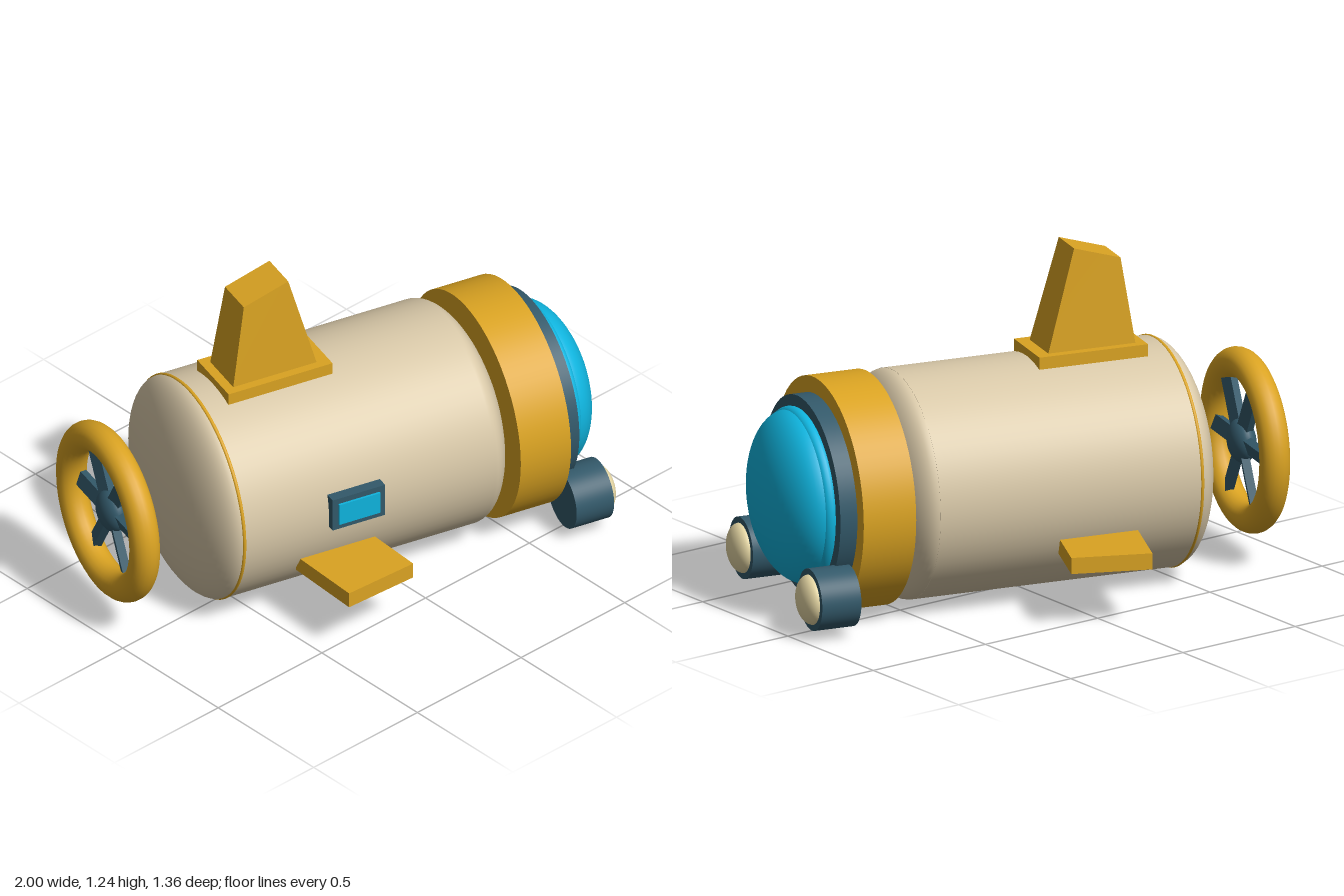
import * as THREE from 'three';

const mat = (name, color) => {
  const m = new THREE.MeshStandardMaterial({ color });
  m.name = name;
  return m;
};

export function createModel() {
  const cream = mat('hull cream', 0xd8c8a8);
  const gold = mat('gold trim', 0xdaa322);
  const teal = mat('dark teal', 0x33596a);
  const cyan = mat('cyan glass', 0x0fb4de);
  const lampCream = mat('lamp cream', 0xe6d7a4);

  const model = new THREE.Group();
  model.name = 'submarine';
  // Local x runs along the hull, origin on the hull axis
  const sub = new THREE.Group();
  sub.name = 'vessel';
  sub.position.set(-0.005, 0.427, 0.017);
  sub.rotation.y = -Math.PI / 12;
  model.add(sub);

  const add = (name, geometry, material, x = 0, y = 0, z = 0, parent = sub) => {
    const mesh = new THREE.Mesh(geometry, material);
    mesh.name = name;
    mesh.position.set(x, y, z);
    parent.add(mesh);
    return mesh;
  };
  // Cylinder along x between two stations
  const drum = (name, r, x0, x1, material, y = 0, z = 0) =>
    add(name, new THREE.CylinderGeometry(r, r, x1 - x0, 64).rotateZ(-Math.PI / 2), material, (x0 + x1) / 2, y, z);
  // Flattened half sphere facing along x (dir = 1 or -1)
  const dome = (name, r, depth, dir, material, x, y = 0, z = 0) =>
    add(name, new THREE.SphereGeometry(1, 64, 16, 0, Math.PI * 2, 0, Math.PI / 2)
      .scale(r, depth, r).rotateZ(-dir * Math.PI / 2), material, x, y, z);
  const ring = (name, r, tube, material, x) =>
    add(name, new THREE.TorusGeometry(r, tube, 20, 64).rotateY(Math.PI / 2), material, x);

  // Hull
  drum('hull', 0.415, -0.567, 0.437, cream);
  dome('rearCap', 0.414, 0.125, -1, cream, -0.567);
  dome('frontCap', 0.414, 0.135, 1, cream, 0.437);
  ring('rearSeam', 0.411, 0.007, gold, -0.567);

  // Nose collar and viewport
  drum('noseCollar', 0.422, 0.534, 0.735, gold);
  drum('viewportFrame', 0.362, 0.73, 0.8, teal);
  ring('viewportBead', 0.295, 0.027, cyan, 0.812);
  dome('viewportGlass', 0.312, 0.147, 1, cyan, 0.82);

  // Headlamps
  for (const side of [1, -1]) {
    drum('headlampHousing', 0.112, 0.75, 0.9, teal, -0.28, side * 0.325);
    dome('headlampLens', 0.09, 0.047, 1, lampCream, 0.899, -0.28, side * 0.325);
  }

  // Side fins
  for (const side of [1, -1]) {
    const fin = add('sideFin', new THREE.BoxGeometry(0.293, 0.06, 0.3), gold, -0.162, -0.182, side * 0.479);
    fin.rotation.y = side * 0.2;
  }

  // Tower: tapered box with a top that slopes down to the rear
  add('towerBase', new THREE.BoxGeometry(0.416, 0.045, 0.24), gold, -0.27, 0.421, 0);
  const tower = new THREE.BoxGeometry(1, 1, 1);
  const p = tower.attributes.position;
  for (let i = 0; i < p.count; i++) {
    const front = p.getX(i) > 0, top = p.getY(i) > 0;
    p.setXYZ(i,
      top ? (front ? -0.214 : -0.392) : (front ? -0.108 : -0.443),
      top ? (front ? 0.818 : 0.763) : 0.44,
      Math.sign(p.getZ(i)) * (top ? 0.072 : 0.088));
  }
  tower.computeVertexNormals();
  add('tower', tower, gold);

  // Side window
  add('windowFrame', new THREE.BoxGeometry(0.21, 0.13, 0.06), teal, -0.125, 0.038, 0.412);
  add('windowPane', new THREE.BoxGeometry(0.165, 0.085, 0.009), cyan, -0.125, 0.038, 0.4465);

  // Propeller
  ring('propellerGuard', 0.28, 0.055, gold, -0.898);
  const propeller = new THREE.Group();
  propeller.name = 'propeller';
  propeller.position.x = -0.885;
  sub.add(propeller);
  add('propellerHub', new THREE.SphereGeometry(0.08, 32, 20).scale(0.6, 1, 1), teal, 0, 0, 0, propeller);
  for (let i = 0; i < 6; i++) {
    const blade = new THREE.BoxGeometry(0.03, 0.055, 0.21).rotateZ(0.3)
      .translate(0, 0, 0.145).rotateX(i * Math.PI / 3);
    add('propellerBlade', blade, teal, 0, 0, 0, propeller);
  }

  return model;
}
